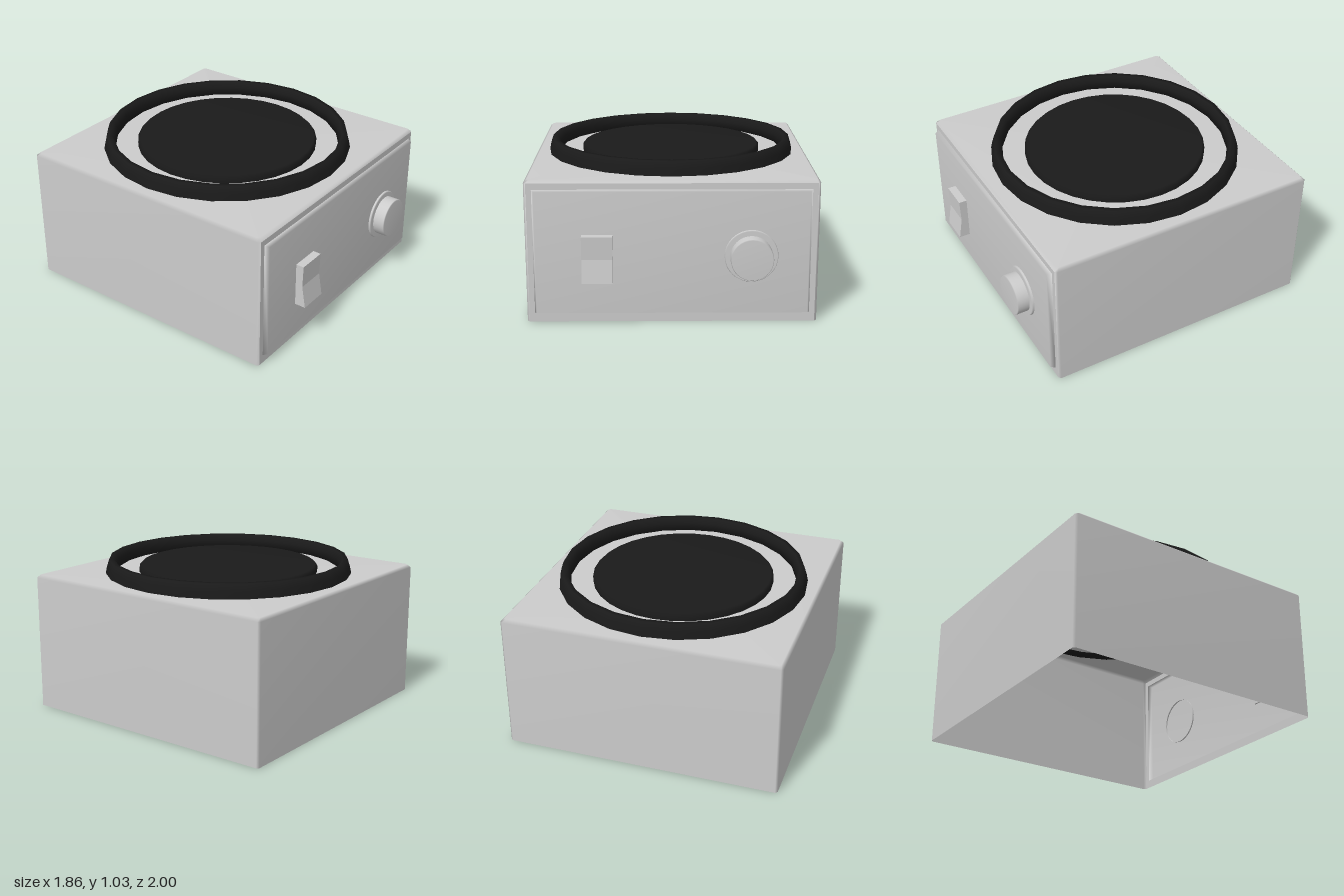
import * as THREE from 'three';

const grey = new THREE.MeshStandardMaterial({ color: 0xcccccc, side: THREE.DoubleSide });
const black = new THREE.MeshStandardMaterial({ color: 0x1a1a1a, side: THREE.DoubleSide });

// Skin between loops of points, closed by a fan on the last loop; skip(level, side) leaves a quad open
function loft(loops, skip = () => false) {
  const n = loops[0].length, last = (loops.length - 1) * n, index = [];
  const centre = [0, 1, 2].map(k => loops.at(-1).reduce((s, p) => s + p[k], 0) / n);
  for (let i = 0; i < n; i++) {
    const j = (i + 1) % n;
    for (let l = 0; l < loops.length - 1; l++) {
      if (skip(l, i)) continue;
      const a = l * n + i, b = l * n + j;
      index.push(a, a + n, b, b, a + n, b + n);
    }
    index.push(last + n, last + j, last + i);
  }
  const geo = new THREE.BufferGeometry();
  geo.setAttribute('position', new THREE.Float32BufferAttribute([...loops.flat(2), ...centre], 3));
  geo.setIndex(index);
  geo.computeVertexNormals();
  return geo;
}

function turned(points, segments) {
  return new THREE.LatheGeometry(points.map(([r, y]) => new THREE.Vector2(r, y)), segments);
}

function rectPath(path, x, y0, y1) {
  path.moveTo(-x, y0);
  path.lineTo(x, y0);
  path.lineTo(x, y1);
  path.lineTo(-x, y1);
  path.closePath();
  return path;
}

export function createModel() {
  const group = new THREE.Group();
  const add = (name, geo, mat, x = 0, y = 0, z = 0) => {
    const mesh = new THREE.Mesh(geo, mat);
    mesh.name = name;
    mesh.position.set(x, y, z);
    group.add(mesh);
    return mesh;
  };

  // Hollow housing, open underneath, with chamfered edges
  const c = 0.015;
  const housingLoop = (y, inset) => {
    const x = 0.93 - inset, f = 0.87 - inset, b = -1 + inset;
    return [[x, y, f - c], [x - c, y, f], [-x + c, y, f], [-x, y, f - c],
      [-x, y, b + c], [-x + c, y, b], [x - c, y, b], [x, y, b + c]];
  };
  add('housing', loft([housingLoop(0, 0), housingLoop(0.915, 0), housingLoop(0.935, 0.02)],
    (level, side) => level === 0 && side === 1), grey);

  // Front frame around the raised control panel
  const frame = rectPath(new THREE.Shape(), 0.93 - c, 0, 0.915);
  frame.holes.push(rectPath(new THREE.Path(), 0.88, 0.06, 0.875));
  add('frontFrame', new THREE.ShapeGeometry(frame), grey, 0, 0, 0.87);
  const panelLoop = (x, y0, y1, z) => [[-x, y0, z], [-x, y1, z], [x, y1, z], [x, y0, z]];
  add('controlPanel', loft([panelLoop(0.88, 0.06, 0.875, 0.87), panelLoop(0.865, 0.068, 0.867, 0.9)]), grey);

  // Rocker switch, pressed in at the middle
  const rocker = new THREE.Shape([[0.89, 0.29], [0.975, 0.29], [0.95, 0.44], [0.955, 0.59], [0.89, 0.59]]
    .map(([z, y]) => new THREE.Vector2(z, y)));
  const rockerGeo = new THREE.ExtrudeGeometry(rocker, { depth: 0.195, bevelEnabled: false });
  add('rockerSwitch', rockerGeo.rotateY(-Math.PI / 2), grey, -0.375);

  // Rotary knob on its round base
  add('knobBase', turned([[0.17, -0.01], [0.17, 0.01], [0.165, 0.017], [0, 0.017]], 32).rotateX(Math.PI / 2),
    grey, 0.5, 0.45, 0.9);
  add('knob', turned([[0.135, 0], [0.135, 0.094], [0.13, 0.1], [0, 0.1]], 32).rotateX(Math.PI / 2),
    grey, 0.5, 0.45, 0.9);

  // Raised ring and round plate on top
  add('topRing', turned([[0.85, 0.925], [0.838, 0.98], [0.822, 1.03], [0.79, 1.03],
    [0.772, 0.99], [0.77, 0.925], [0.85, 0.925]], 24), black, 0, 0, -0.07);
  add('topPlate', turned([[0.615, 0.936], [0.615, 0.97], [0.6, 0.985], [0, 0.985]], 32), black, 0, 0, -0.07);

  return group;
}
